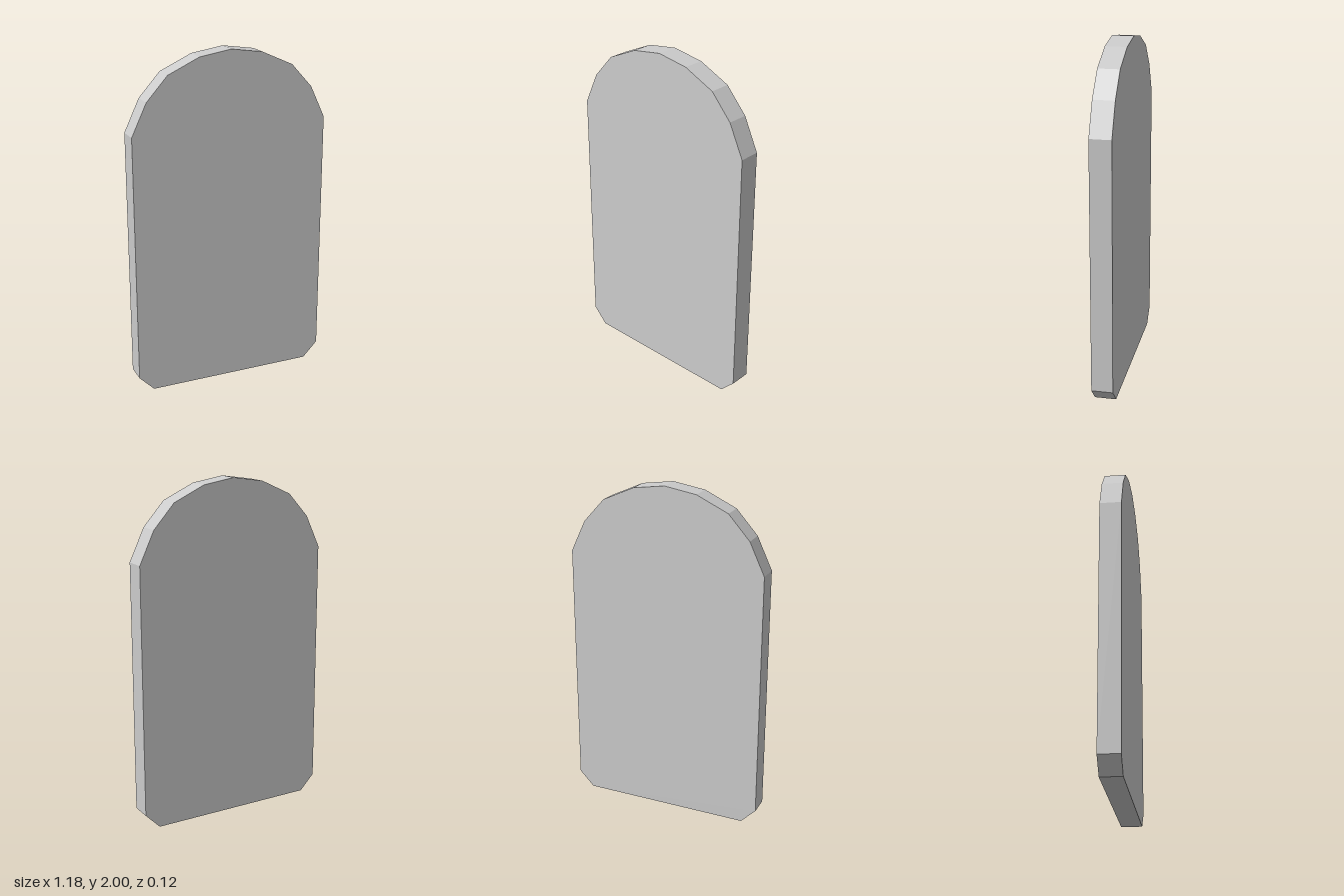
import * as THREE from 'three';

const DEPTH = 0.124;

// Right half of the outline: chamfered foot, straight side, faceted arch
const HALF = [
  [0.503, 0], [0.592, 0.091], [0.592, 1.56], [0.503, 1.747],
  [0.377, 1.886], [0.19, 1.971],
];

export function createModel() {
  const group = new THREE.Group();
  group.name = 'archedSlab';

  // Mirror the half outline around the apex
  const mirrored = HALF.map(([x, y]) => [-x, y]).reverse();
  const outline = [...HALF, [0, 2], ...mirrored].map(([x, y]) => new THREE.Vector2(x, y));

  // Flat slab of constant thickness, centred on z = 0
  const geometry = new THREE.ExtrudeGeometry(new THREE.Shape(outline), {
    depth: DEPTH,
    bevelEnabled: false,
  });
  geometry.translate(0, 0, -DEPTH / 2);

  const slab = new THREE.Mesh(
    geometry,
    new THREE.MeshStandardMaterial({ color: 0xcccccc, flatShading: true }),
  );
  slab.name = 'slab';
  group.add(slab);
  return group;
}
